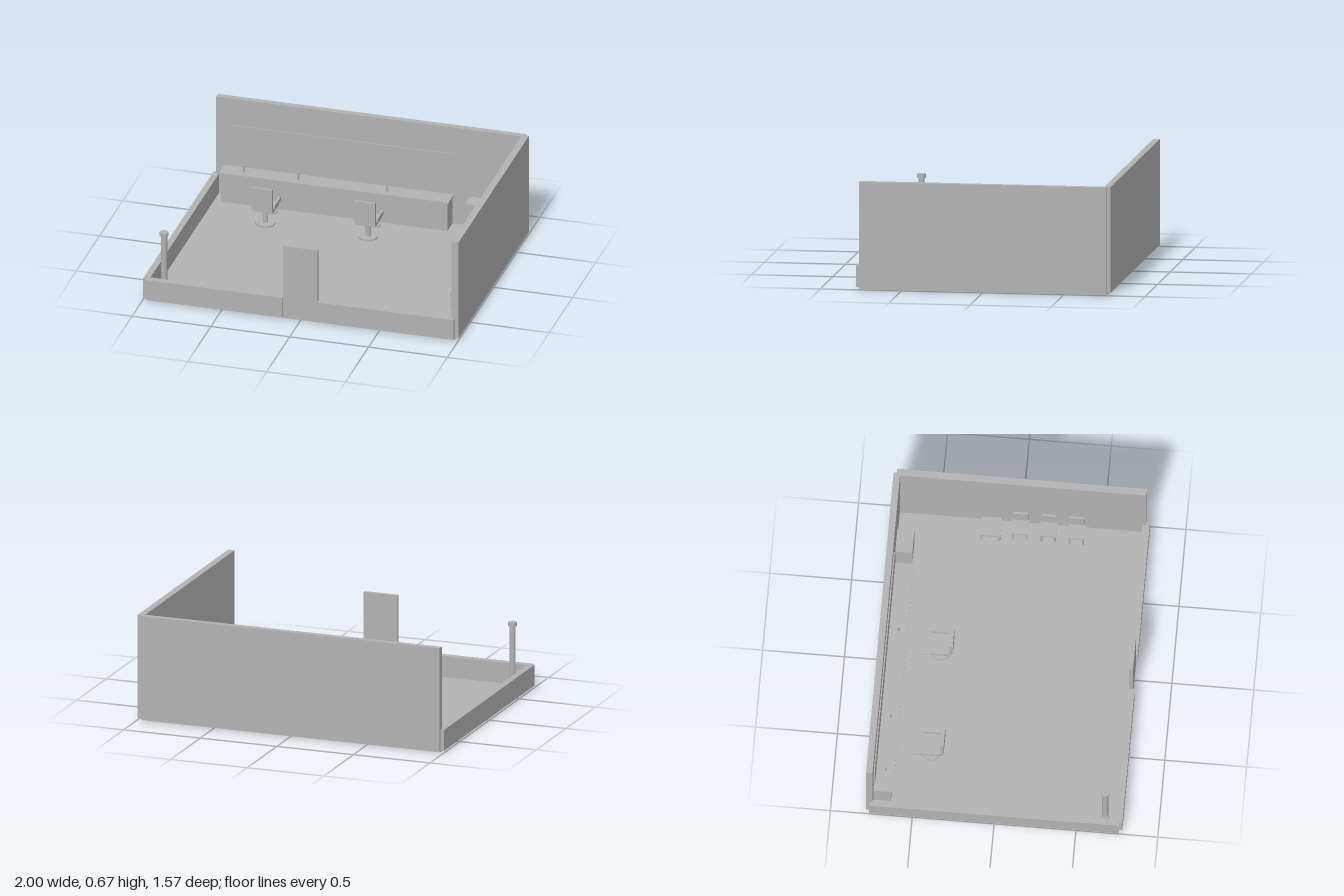
import * as THREE from 'three';

export function createModel() {
  const model = new THREE.Group();
  model.name = 'barberShop';
  const grey = new THREE.MeshStandardMaterial({ color: 0xb2b2b2 });
  grey.name = 'plain grey';

  // Box given by its min and max on each axis
  const box = (parent, name, x0, x1, y0, y1, z0, z1) => {
    const m = new THREE.Mesh(new THREE.BoxGeometry(x1 - x0, y1 - y0, z1 - z0), grey);
    m.position.set((x0 + x1) / 2, (y0 + y1) / 2, (z0 + z1) / 2);
    m.name = name;
    parent.add(m);
  };
  const cyl = (parent, name, x, z, y0, y1, r, sides = 24) => {
    const m = new THREE.Mesh(new THREE.CylinderGeometry(r, r, y1 - y0, sides), grey);
    m.position.set(x, (y0 + y1) / 2, z);
    m.name = name;
    parent.add(m);
  };
  const group = (name, x, z) => {
    const g = new THREE.Group();
    g.name = name;
    g.position.set(x, 0, z);
    model.add(g);
    return g;
  };
  const F = 0.013; // floor level

  // Room shell: two full-height walls, two low walls and a door
  box(model, 'floor', -0.975, 0.975, 0, F, -0.762, 0.762);
  box(model, 'backWall', -0.978, 0.975, F, 0.665, -0.784, -0.744);
  box(model, 'leftWall', 0.957, 1, F, 0.665, -0.764, 0.762);
  box(model, 'rightLowWall', -1, -0.96, F, 0.145, -0.764, 0.762);
  box(model, 'frontLowWallRight', -0.978, -0.11, F, 0.145, 0.738, 0.782);
  box(model, 'frontLowWallLeft', 0.11, 0.975, F, 0.145, 0.738, 0.782);
  box(model, 'door', -0.11, 0.11, F, 0.493, 0.748, 0.772);

  // Counter, mirror, bottles and cabinet along the back wall
  box(model, 'counterBody', -0.915, 0.52, F, 0.198, -0.744, -0.635);
  box(model, 'counterTop', -0.925, 0.53, 0.198, 0.21, -0.744, -0.625);
  box(model, 'mirror', -0.895, 0.525, 0.23, 0.487, -0.744, -0.737);
  for (const x of [-0.785, -0.438, 0.127]) cyl(model, 'bottle', x, -0.68, 0.21, 0.258, 0.008, 12);
  box(model, 'cabinet', 0.63, 0.78, F, 0.21, -0.744, -0.64);

  // Swivel chairs facing the mirror
  for (const x of [-0.57, 0.082]) {
    const g = group('swivelChair', x, -0.42);
    cyl(g, 'base', 0, 0, F, 0.025, 0.06);
    cyl(g, 'column', 0, 0, 0.025, 0.12, 0.016);
    box(g, 'seat', -0.065, 0.065, 0.12, 0.145, -0.065, 0.065);
    box(g, 'backrest', -0.065, 0.065, 0.14, 0.285, 0.06, 0.08);
    for (const s of [-1, 1]) {
      const a = s * 0.064, b = s * 0.078;
      box(g, 'armrest', Math.min(a, b), Math.max(a, b), 0.15, 0.175, -0.065, 0.06);
    }
    box(g, 'footrest', -0.043, 0.043, 0.044, 0.054, -0.12, -0.077);
  }

  // Four slim legs set in from the corners of a top
  const legs = (g, hx, hz, top) => {
    for (const sx of [-1, 1]) for (const sz of [-1, 1]) {
      const x = sx * (hx - 0.009), z = sz * (hz - 0.009);
      box(g, 'leg', x - 0.006, x + 0.006, F, top, z - 0.006, z + 0.006);
    }
  };

  // Waiting chairs against the left wall
  for (const z of [-0.003, 0.17, 0.342]) {
    const g = group('waitingChair', 0.888, z);
    box(g, 'seat', -0.05, 0.05, 0.11, 0.124, -0.05, 0.05);
    box(g, 'backrest', 0.041, 0.054, 0.12, 0.23, -0.045, 0.045);
    legs(g, 0.05, 0.05, 0.11);
  }

  // Side table
  const table = group('sideTable', 0.88, -0.18);
  box(table, 'tableTop', -0.06, 0.06, 0.09, 0.104, -0.063, 0.063);
  legs(table, 0.06, 0.063, 0.09);

  // Striped-pole lamp in the front corner
  const pole = group('pole', -0.893, 0.67);
  cyl(pole, 'poleBase', 0, 0, F, 0.04, 0.027);
  cyl(pole, 'poleShaft', 0, 0, 0.04, 0.407, 0.019);
  cyl(pole, 'poleCap', 0, 0, 0.407, 0.43, 0.027);

  return model;
}
